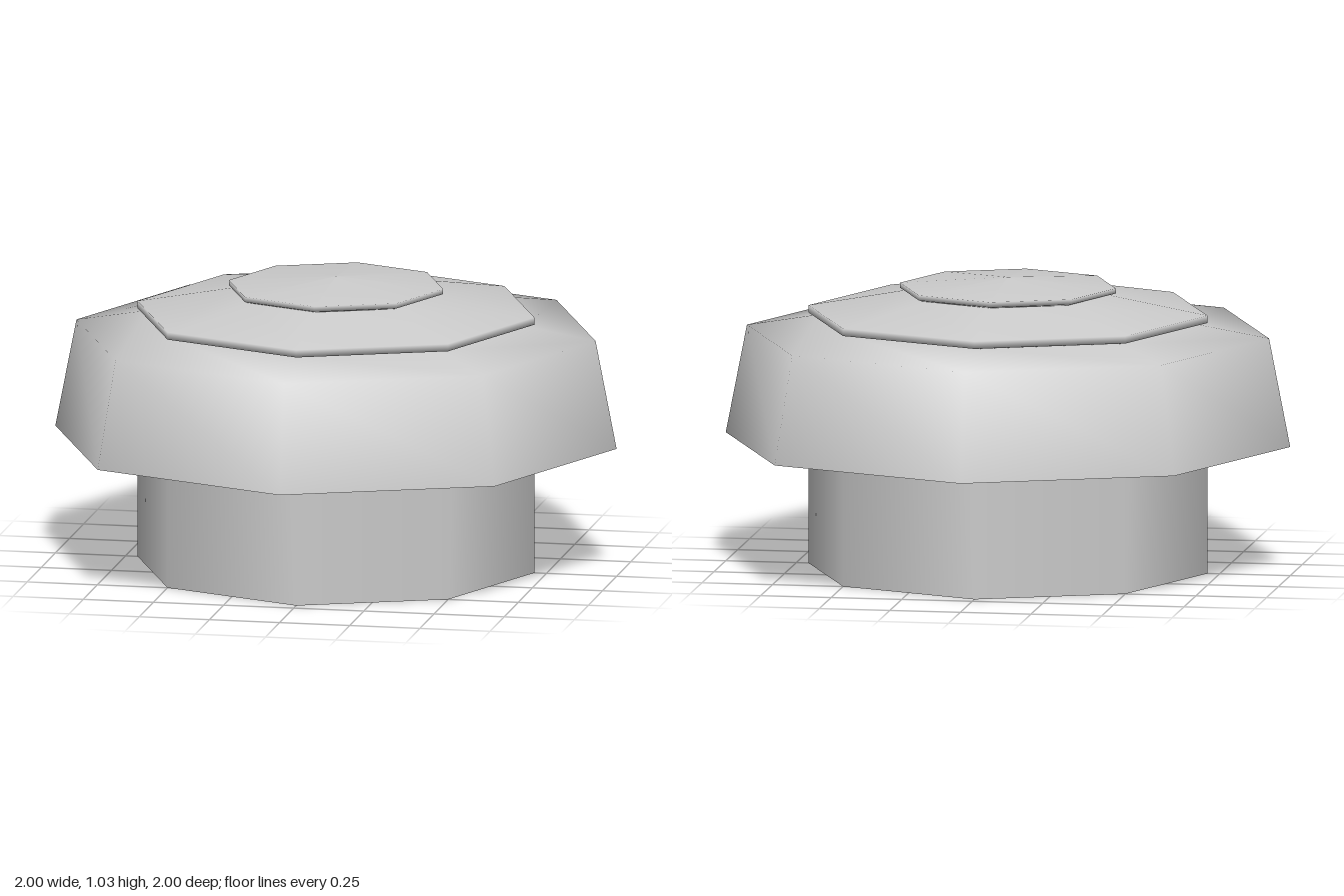
import * as THREE from 'three';
import { mergeGeometries } from 'three/addons/utils/BufferGeometryUtils.js';

const SIDES = 8;
const TUBE_RADIUS = 0.707;
const TUBE_TOP = 0.87;

// One flat side of the tube, optionally pierced by a window
function sidePanel(index, hasWindow) {
  const half = TUBE_RADIUS * Math.sin(Math.PI / SIDES);
  const apothem = TUBE_RADIUS * Math.cos(Math.PI / SIDES);
  const rectangle = (Type, w, y0, y1) => new Type([
    new THREE.Vector2(-w, y0), new THREE.Vector2(w, y0),
    new THREE.Vector2(w, y1), new THREE.Vector2(-w, y1),
  ]);
  const shape = rectangle(THREE.Shape, half, 0, TUBE_TOP);
  if (hasWindow) shape.holes.push(rectangle(THREE.Path, half * 0.86, 0.49, 0.8));
  const geometry = new THREE.ShapeGeometry(shape);
  geometry.translate(0, 0, apothem);
  geometry.rotateY((index + 0.5) * 2 * Math.PI / SIDES);
  return geometry;
}

export function createModel() {
  const model = new THREE.Group();
  const material = new THREE.MeshStandardMaterial({ color: 0xcccccc, side: THREE.DoubleSide });

  // Open octagonal tube with a window in every other side
  const panels = [];
  for (let i = 0; i < SIDES; i++) panels.push(sidePanel(i, i % 2 === 1));
  const tubeGeometry = mergeGeometries(panels);

  // Radial normals shade the sides as one smooth wall
  const position = tubeGeometry.attributes.position;
  const normal = new THREE.Vector3();
  for (let i = 0; i < position.count; i++) {
    normal.set(position.getX(i), 0, position.getZ(i)).normalize();
    tubeGeometry.attributes.normal.setXYZ(i, normal.x, normal.y, normal.z);
  }
  const tube = new THREE.Mesh(tubeGeometry, material);
  tube.name = 'tube';
  model.add(tube);

  // Hollow cap: flared skirt, sloping roof and two stepped tiers
  const profile = [
    [1, 0.455], [0.925, 0.837], [0.67, 0.88],
    [0.707, 0.886], [0.707, 0.912], [0.36, 0.975],
    [0.382, 0.982], [0.382, 1.0], [0, 1.03],
  ].map(([r, y]) => new THREE.Vector2(r, y));
  const cap = new THREE.Mesh(new THREE.LatheGeometry(profile, SIDES), material);
  cap.name = 'cap';
  model.add(cap);

  return model;
}
